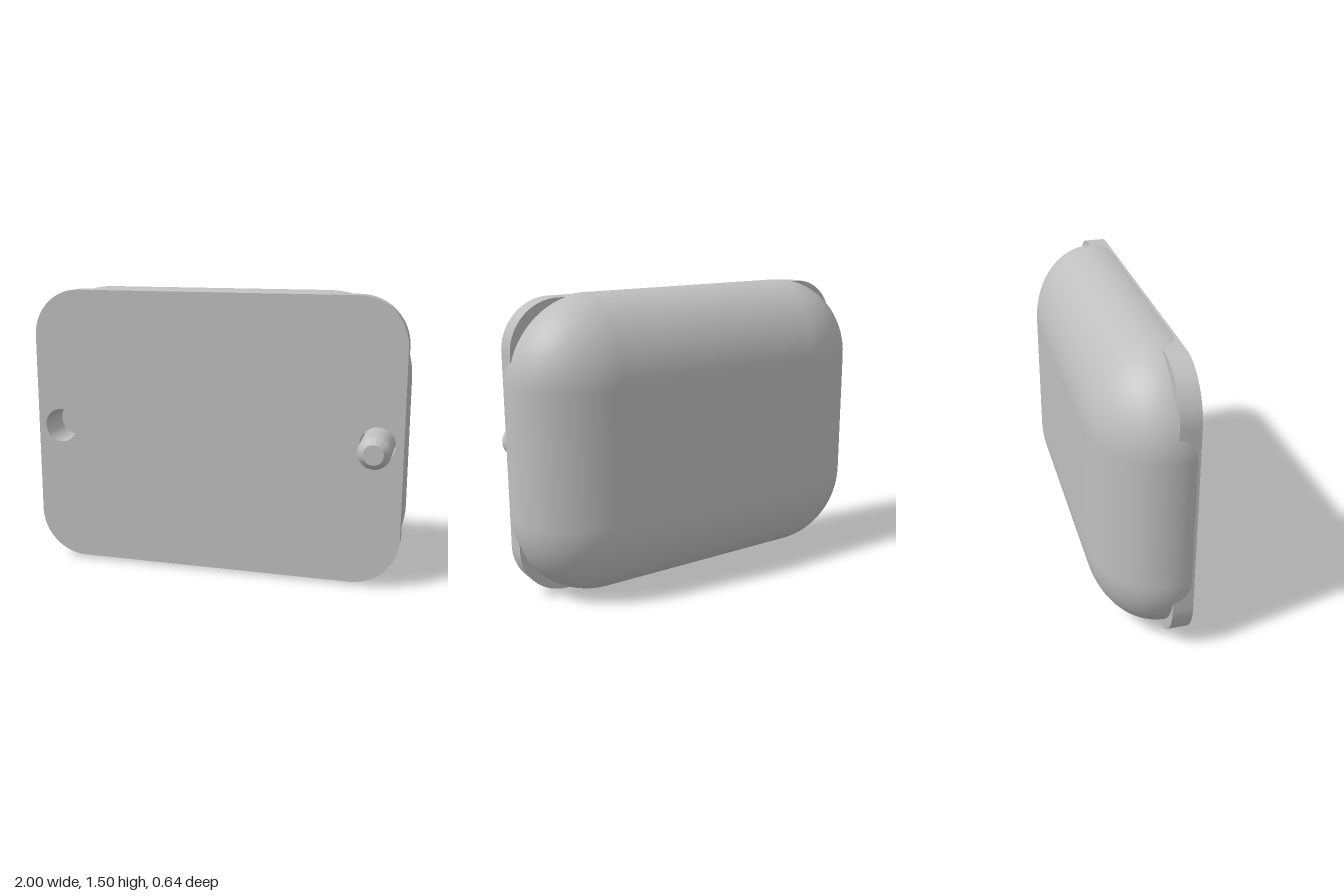
import * as THREE from 'three';
import { toCreasedNormals } from 'three/addons/utils/BufferGeometryUtils.js';

const MID_Y = 0.75, FRONT = 0.11, EQUATOR = 0.01, SOCKET_FLOOR = -0.09;
const PEG_X = 0.855, SOCKET_R = 0.09;

// Rounded shell: a rectangle swept by an ellipsoid, cut open at the front plane
function shellGeometry(coreX, coreY, r, depth) {
  const steps = 18, rows = 28, pos = [], nor = [], idx = [];
  const end = Math.asin((FRONT - EQUATOR) / depth);
  const count = 4 * (steps + 1);
  for (let j = 0; j <= rows; j++) {
    const phi = -Math.PI / 2 + (end + Math.PI / 2) * j / rows;
    for (let corner = 0; corner < 4; corner++) {
      const sx = corner === 0 || corner === 3 ? 1 : -1, sy = corner < 2 ? 1 : -1;
      for (let i = 0; i <= steps; i++) {
        const a = (corner + i / steps) * Math.PI / 2;
        const dx = Math.cos(a) * Math.cos(phi), dy = Math.sin(a) * Math.cos(phi), dz = Math.sin(phi);
        pos.push(sx * coreX + r * dx, sy * coreY + r * dy, depth * dz);
        const n = new THREE.Vector3(dx / r, dy / r, dz / depth).normalize();
        nor.push(n.x, n.y, n.z);
      }
    }
  }
  for (let j = 0; j < rows; j++) {
    for (let i = 0; i < count; i++) {
      const a = j * count + i, b = j * count + (i + 1) % count;
      idx.push(a, b, b + count, a, b + count, a + count);
    }
  }
  const g = new THREE.BufferGeometry();
  g.setAttribute('position', new THREE.Float32BufferAttribute(pos, 3));
  g.setAttribute('normal', new THREE.Float32BufferAttribute(nor, 3));
  g.setIndex(idx);
  return g;
}

// Rounded rectangle with the two round socket openings
function plateShape(hx, hy, r) {
  const s = new THREE.Shape();
  s.absarc(hx - r, hy - r, r, 0, Math.PI / 2);
  s.absarc(-hx + r, hy - r, r, Math.PI / 2, Math.PI);
  s.absarc(-hx + r, -hy + r, r, Math.PI, Math.PI * 1.5);
  s.absarc(hx - r, -hy + r, r, Math.PI * 1.5, Math.PI * 2);
  s.closePath();
  for (const x of [-PEG_X, PEG_X]) {
    const hole = new THREE.Path();
    hole.absarc(x, 0, SOCKET_R, 0, Math.PI * 2, true);
    s.holes.push(hole);
  }
  return s;
}

// Turned part whose axis runs along z; profile is [radius, z]
function turned(profile) {
  const g = new THREE.LatheGeometry(profile.map(p => new THREE.Vector2(...p)), 48);
  g.rotateX(Math.PI / 2);
  return toCreasedNormals(g, Math.PI / 6);
}

export function createModel() {
  const model = new THREE.Group();
  model.name = 'peggedCase';
  const grey = new THREE.MeshStandardMaterial({ color: 0xbfbfbf });
  grey.name = 'plain grey';

  const add = (name, geometry, x, y, z) => {
    const mesh = new THREE.Mesh(geometry, grey);
    mesh.name = name;
    mesh.position.set(x, y, z);
    model.add(mesh);
    return mesh;
  };

  // Bulging back with its flat panel
  const r = 0.42, depth = 0.33, coreX = 1 - r, coreY = MID_Y - r;
  add('shell', shellGeometry(coreX, coreY, r, depth), 0, MID_Y, EQUATOR);
  add('backPanel', new THREE.PlaneGeometry(coreX * 2, coreY * 2).rotateY(Math.PI), 0, MID_Y, EQUATOR - depth);

  // Front plate with corners standing proud of the shell
  const plate = new THREE.ExtrudeGeometry(plateShape(0.985, 0.735, 0.25),
    { depth: FRONT - EQUATOR, bevelEnabled: false, curveSegments: 24 });
  add('frontPlate', toCreasedNormals(plate, Math.PI / 6), 0, MID_Y, EQUATOR);

  // Blind sockets on both sides
  const socket = turned([[SOCKET_R, FRONT], [SOCKET_R, SOCKET_FLOOR], [0, SOCKET_FLOOR]]);
  add('rightSocket', socket, -PEG_X, MID_Y, 0);
  add('leftSocket', socket, PEG_X, MID_Y, 0);

  // Chamfered peg seated in the left socket
  add('peg', turned([[0.082, SOCKET_FLOOR], [0.082, 0.28], [0.05, 0.325], [0, 0.325]]), PEG_X, MID_Y, 0);

  return model;
}
